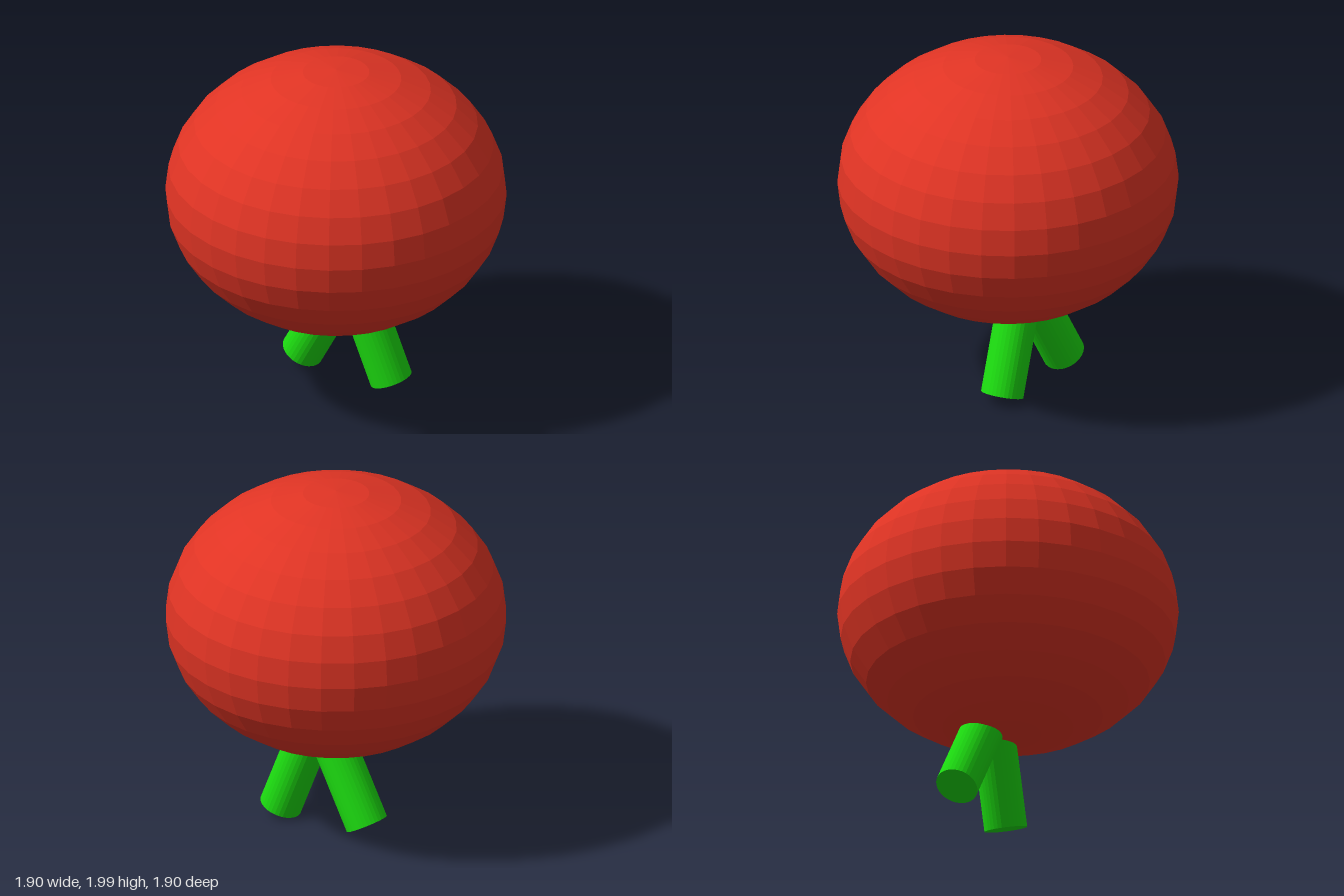
import * as THREE from 'three';

export function createModel() {
  const model = new THREE.Group();
  const red = new THREE.MeshStandardMaterial({ color: 0xe03424, flatShading: true });
  const green = new THREE.MeshStandardMaterial({ color: 0x1cdc10, flatShading: true });

  // Squashed round body
  const body = new THREE.Mesh(new THREE.SphereGeometry(0.95, 32, 16), red);
  body.name = 'body';
  body.scale.y = 0.763 / 0.95;
  body.position.y = 1.237;
  model.add(body);

  // Splayed cylindrical leg running from its foot up into the body
  function addLeg(name, foot, top) {
    const a = new THREE.Vector3(...foot);
    const b = new THREE.Vector3(...top);
    const axis = b.clone().sub(a);
    const leg = new THREE.Mesh(new THREE.CylinderGeometry(0.12, 0.12, axis.length(), 32), green);
    leg.name = name;
    leg.position.copy(a).add(b).multiplyScalar(0.5);
    leg.quaternion.setFromUnitVectors(new THREE.Vector3(0, 1, 0), axis.normalize());
    model.add(leg);
  }
  addLeg('leftLeg', [0.277, 0.052, -0.132], [0.067, 0.612, -0.124]);
  addLeg('rightLeg', [-0.29, 0.083, -0.185], [0.0, 0.613, -0.122]);

  return model;
}
